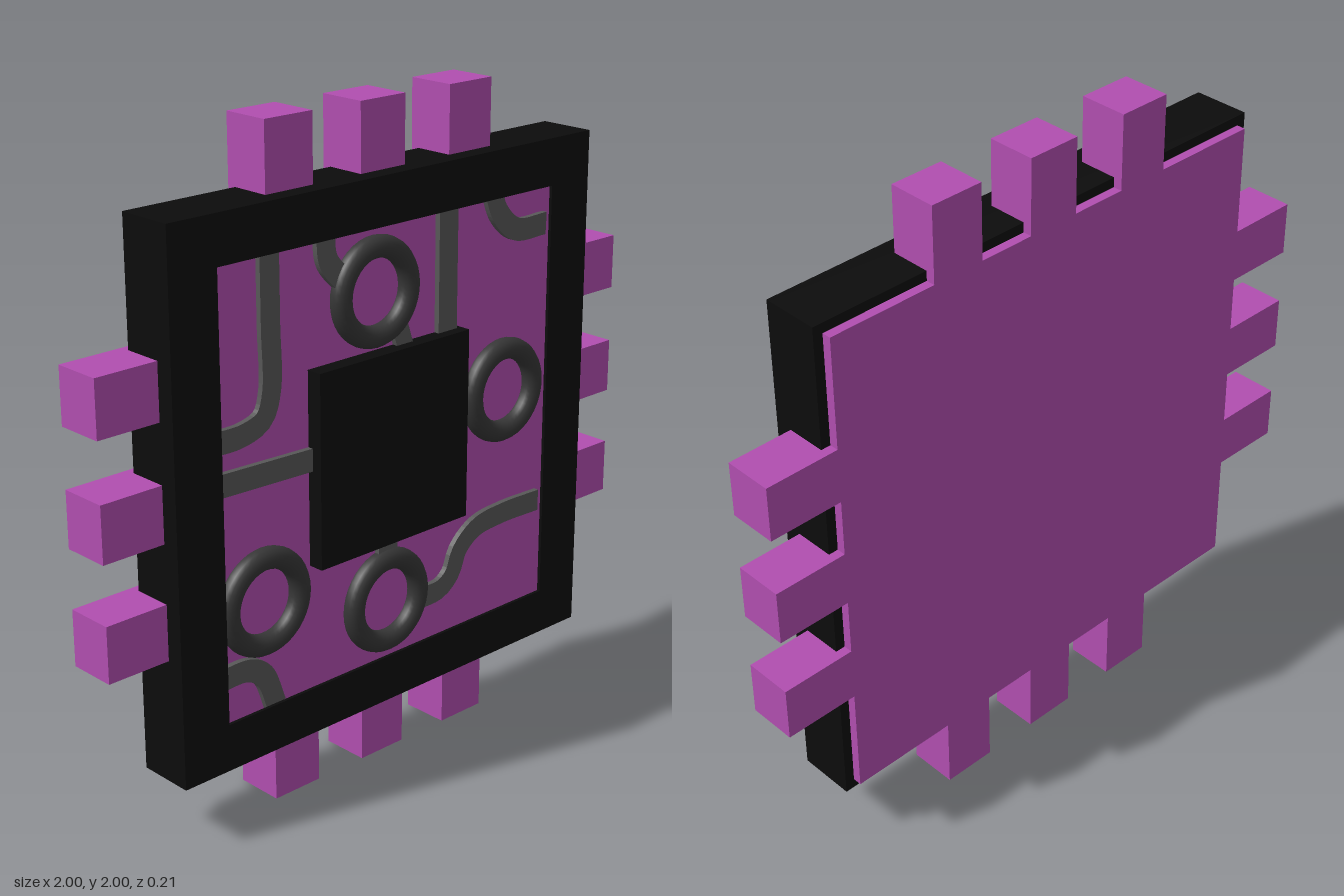
import * as THREE from 'three';

const paint = (color) => new THREE.MeshStandardMaterial({ color });

export function createModel() {
  const model = new THREE.Group();
  const purple = paint(0xb14eb0), black = paint(0x0c0c0c), ringGrey = paint(0x363636), traceGrey = paint(0x585858);

  const add = (name, geometry, material, x = 0, y = 0, z = 0) => {
    const mesh = new THREE.Mesh(geometry, material);
    mesh.name = name;
    mesh.position.set(x, y, z);
    model.add(mesh);
    return mesh;
  };
  const box = (name, w, h, d, material, x, y, z) => add(name, new THREE.BoxGeometry(w, h, d), material, x, y, z);

  // Rectangular ring with an opening, extruded from z0 to z1
  const rectangle = (Type, hx, hy) => new Type([[-hx, -hy], [hx, -hy], [hx, hy], [-hx, hy]].map(([x, y]) => new THREE.Vector2(x, y)));
  const border = (name, hx, hy, z0, z1) => {
    const shape = rectangle(THREE.Shape, 0.8, 0.8);
    shape.holes.push(rectangle(THREE.Path, hx, hy));
    add(name, new THREE.ExtrudeGeometry(shape, { depth: z1 - z0, bevelEnabled: false }), black, 0, 1, z0);
  };

  // Board, with a black rim around it and a lip over its front edge
  box('board', 1.54, 1.54, 0.16, purple, 0, 1, -0.025);
  border('frameRim', 0.77, 0.77, -0.077, 0.09);
  border('frameLip', 0.64, 0.657, 0.09, 0.1);

  // Three pins on each side
  for (const t of [-0.343, 0, 0.343]) {
    for (const s of [-1, 1]) {
      box('sidePin', 0.25, 0.168, 0.15, purple, s * 0.875, 1.003 + t, -0.03);
      box('endPin', 0.168, 0.25, 0.15, purple, t, 1 + s * 0.875, -0.03);
    }
  }

  // Central chip
  box('chip', 0.585, 0.585, 0.055, black, -0.002, 0.998, 0.0775);

  // Ring components
  for (const [x, y] of [[-0.05, 1.465], [0.48, 1.05], [-0.475, 0.655], [-0.005, 0.51]]) {
    add('ring', new THREE.TorusGeometry(0.13, 0.033, 16, 40), ringGrey, x, y, 0.065);
  }

  // Flat circuit traces: ribbons following a curve
  const trace = (points, width = 0.068) => {
    const curve = new THREE.CatmullRomCurve3(points.map(([x, y]) => new THREE.Vector3(x, y, 0)), false, 'centripetal');
    const left = [], right = [], n = points.length > 2 ? 30 : 1;
    for (let i = 0; i <= n; i++) {
      const p = curve.getPointAt(i / n), t = curve.getTangentAt(i / n);
      const dx = -t.y * width / 2, dy = t.x * width / 2;
      left.push(new THREE.Vector2(p.x + dx, p.y + dy));
      right.unshift(new THREE.Vector2(p.x - dx, p.y - dy));
    }
    const shape = new THREE.Shape([...left, ...right]);
    add('trace', new THREE.ExtrudeGeometry(shape, { depth: 0.022, bevelEnabled: false }), traceGrey, 0, 0, 0.05);
  };
  trace([[-0.44, 1.67], [-0.44, 1.45], [-0.44, 1.27], [-0.468, 1.195], [-0.54, 1.167], [-0.645, 1.165]]);
  trace([[-0.24, 1.67], [-0.23, 1.59], [-0.16, 1.51]]);
  trace([[0.035, 1.37], [0.065, 1.28]], 0.06);
  trace([[0.235, 1.67], [0.235, 1.28]], 0.075);
  trace([[0.415, 1.68], [0.45, 1.6], [0.52, 1.542], [0.65, 1.537]]);
  trace([[-0.65, 1.042], [-0.28, 1.03]]);
  trace([[-0.002, 0.72], [-0.002, 0.66]], 0.075);
  trace([[0.14, 0.47], [0.22, 0.475], [0.268, 0.51], [0.3, 0.58], [0.37, 0.632], [0.48, 0.647], [0.65, 0.645]]);
  trace([[-0.65, 0.467], [-0.54, 0.465], [-0.485, 0.43], [-0.44, 0.32]]);

  return model;
}
